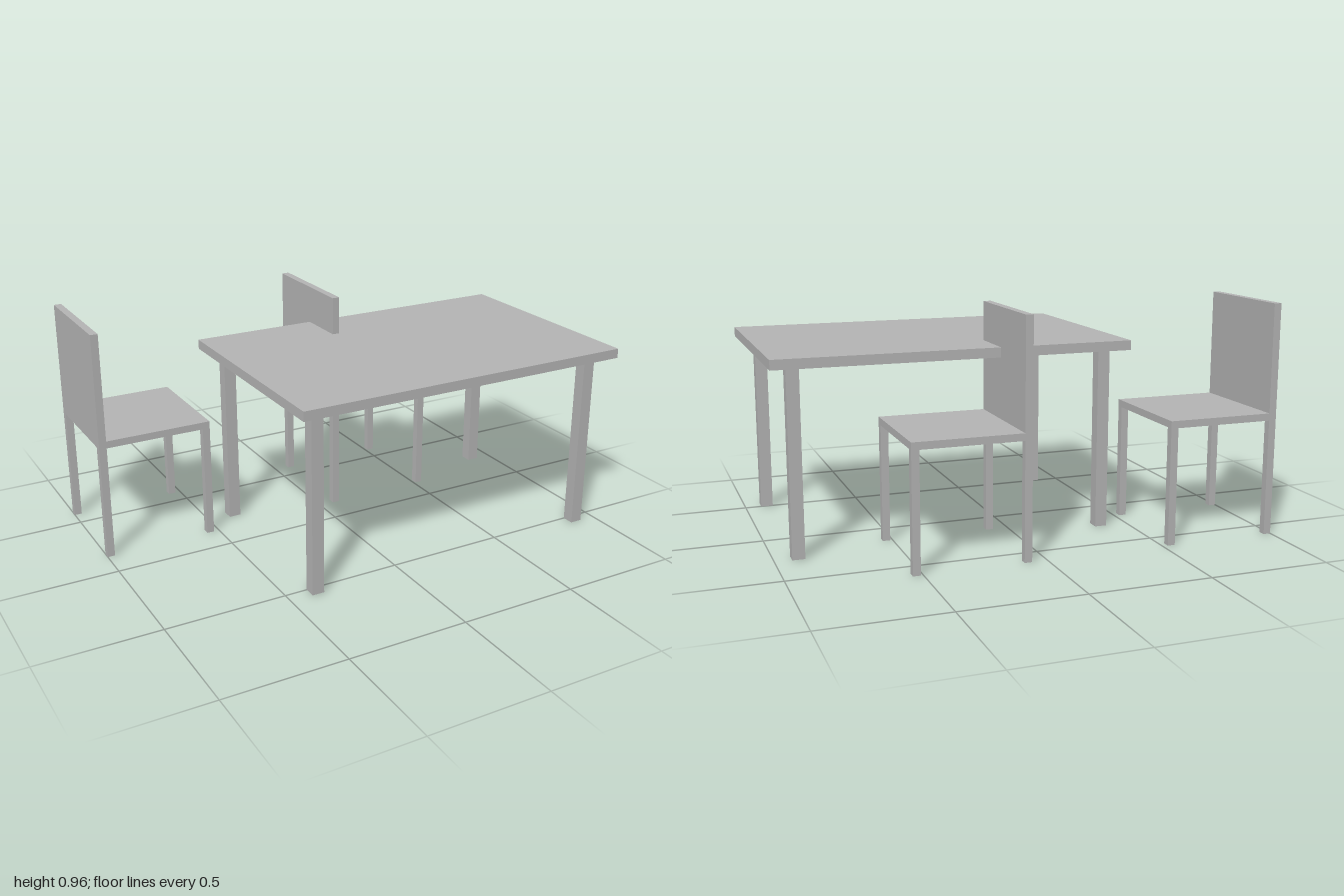
import * as THREE from 'three';

const grey = new THREE.MeshStandardMaterial({ color: 0xb4b4b4 });
grey.name = 'plain grey';

// Box given by its lower and upper limits on each axis
function block(name, [x0, x1], [y0, y1], [z0, z1]) {
  const mesh = new THREE.Mesh(new THREE.BoxGeometry(x1 - x0, y1 - y0, z1 - z0), grey);
  mesh.position.set((x0 + x1) / 2, (y0 + y1) / 2, (z0 + z1) / 2);
  mesh.name = name;
  return mesh;
}

// Four square legs, placed by their lower x and z limits
function addLegs(group, name, xs, zs, width, height) {
  for (const x of xs) {
    for (const z of zs) {
      group.add(block(name, [x, x + width], [0, height], [z, z + width]));
    }
  }
}

function createTable() {
  const table = new THREE.Group();
  table.name = 'table';
  table.add(block('tableTop', [-0.47, 1], [0.76, 0.8], [-0.346, 0.612]));
  addLegs(table, 'tableLeg', [-0.406, 0.88], [-0.28, 0.499], 0.051, 0.76);
  return table;
}

// Chair with its rear left-hand corner at the group's origin, facing +x
function createChair(name, x, z) {
  const size = 0.477, thick = 0.031, seatBottom = 0.482, seatTop = 0.512;
  const chair = new THREE.Group();
  chair.name = name;
  chair.add(block('seat', [0, size], [seatBottom, seatTop], [0, size]));
  chair.add(block('backrest', [0, thick], [seatTop, 0.96], [0, size]));
  addLegs(chair, 'chairLeg', [0, size - thick], [0, size - thick], thick, seatBottom);
  chair.position.set(x, 0, z);
  return chair;
}

export function createModel() {
  const model = new THREE.Group();
  model.name = 'diningSet';
  model.add(createTable());
  model.add(createChair('sideChair', -1, -0.612));
  model.add(createChair('tuckedChair', 0.064, -0.612));
  return model;
}
